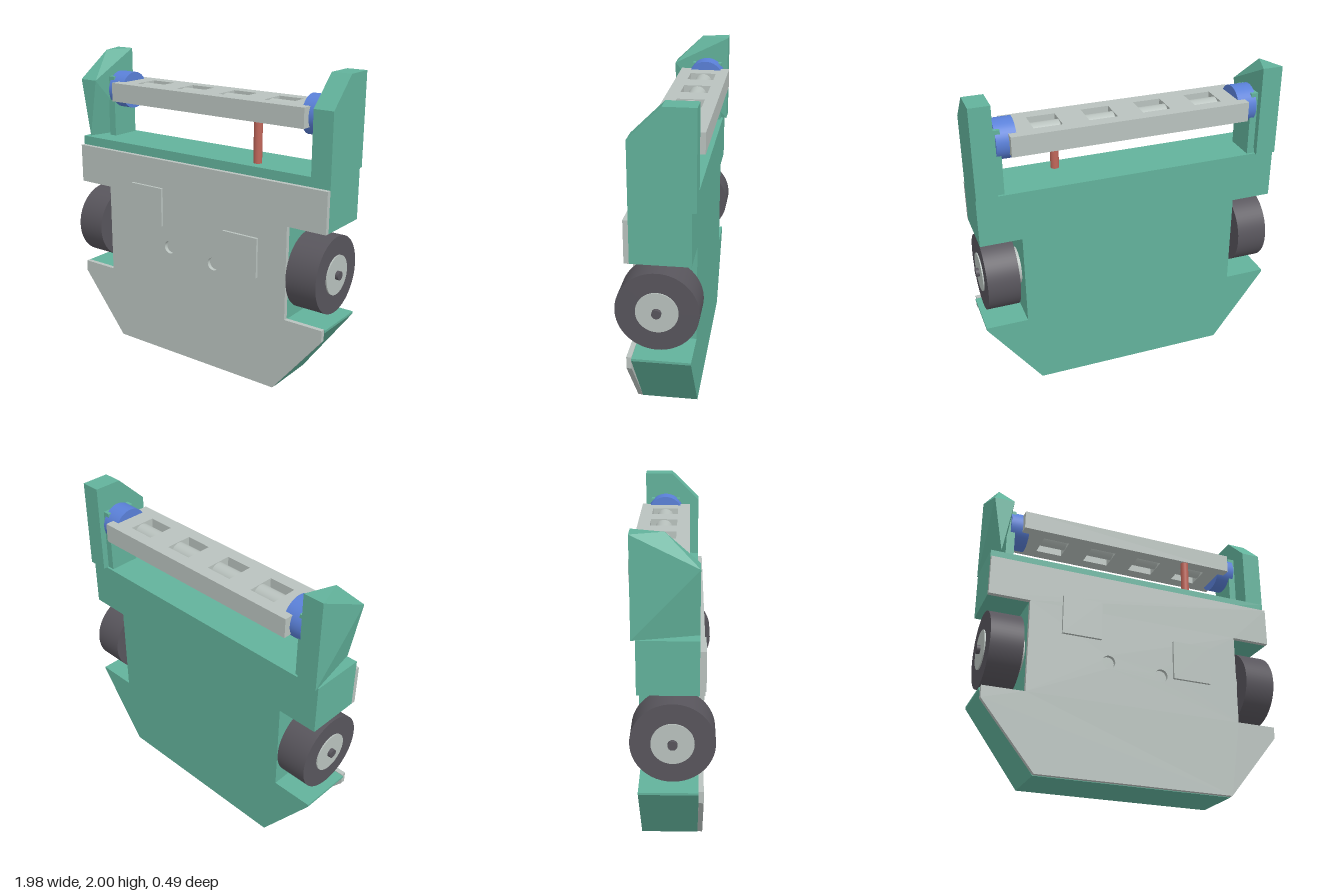
import * as THREE from 'three';
import { ConvexGeometry } from 'three/addons/geometries/ConvexGeometry.js';

const mat = (name, color, side = THREE.FrontSide) => {
  const m = new THREE.MeshStandardMaterial({ color, side });
  m.name = name;
  return m;
};

export function createModel() {
  const green = mat('green', 0x62b29b);
  const grey = mat('light grey', 0xb9c2be);
  const dark = mat('dark grey', 0x58555c);
  const blue = mat('blue', 0x5a80d8);
  const red = mat('red', 0xc0665a);

  const model = new THREE.Group();
  model.name = 'wheeledRobot';
  model.position.x = -0.007;

  const add = (name, geo, material, x = 0, y = 0, z = 0) => {
    const mesh = new THREE.Mesh(geo, material);
    mesh.name = name;
    mesh.position.set(x, y, z);
    model.add(mesh);
    return mesh;
  };
  // box given by its two opposite corners
  const box = (name, material, x0, x1, y0, y1, z0, z1) =>
    add(name, new THREE.BoxGeometry(x1 - x0, y1 - y0, z1 - z0), material,
      (x0 + x1) / 2, (y0 + y1) / 2, (z0 + z1) / 2);
  // cylinder lying along x
  const rod = (name, material, r, x0, x1, y, z, seg = 40) =>
    add(name, new THREE.CylinderGeometry(r, r, Math.abs(x1 - x0), seg).rotateZ(Math.PI / 2),
      material, (x0 + x1) / 2, y, z);
  const extrude = (shape, depth) =>
    new THREE.ExtrudeGeometry(shape, { depth, bevelEnabled: false, curveSegments: 24 });
  // symmetric outline from its right half, listed from bottom to top
  const mirrored = (half) => new THREE.Shape(
    [...half, ...half.slice().reverse().map(([x, y]) => [-x, y])]
      .map(([x, y]) => new THREE.Vector2(x, y)));

  // body block with wheel notches
  const body = mirrored([[0.64, 0], [0.985, 0.475], [0.985, 0.49], [0.715, 0.49],
    [0.715, 1.1], [0.978, 1.1], [0.978, 1.42]]);
  add('body', extrude(body, 0.35), green, 0, 0, -0.2);

  // front cover plate with two round holes
  const plate = mirrored([[0.64, 0.003], [0.978, 0.42], [0.978, 0.495], [0.715, 0.495],
    [0.715, 1.1], [0.978, 1.1], [0.978, 1.36]]);
  for (const [x, y] of [[-0.19, 0.77], [0.17, 0.735]]) {
    plate.holes.push(new THREE.Path().absarc(x, y, 0.043, 0, Math.PI * 2, true));
    add('recessedDisc', new THREE.CircleGeometry(0.043, 24), grey, x, y, 0.155);
  }
  add('frontPlate', extrude(plate, 0.03), grey, 0, 0, 0.15);
  box('upperPanel', grey, -0.504, -0.244, 0.91, 1.17, 0.18, 0.198);
  box('lowerPanel', grey, 0.252, 0.512, 0.725, 0.985, 0.18, 0.198);

  // wheels, hubs, axles, roller end caps and brackets
  for (const s of [-1, 1]) {
    rod('wheel', dark, 0.245, s * 0.755, s * 0.96, 0.795, 0, 64);
    rod('outerHub', grey, 0.125, s * 0.955, s * 0.968, 0.795, 0);
    rod('innerHub', grey, 0.12, s * 0.71, s * 0.76, 0.795, 0);
    rod('axle', dark, 0.028, s * 0.9, s * 0.99, 0.795, 0, 24);
    rod('endCap', blue, 0.123, s * 0.705, s * 0.83, 1.737, -0.083);
    box('bracket', green, s * 0.827 - 0.027, s * 0.827 + 0.027, 1.42, 1.83, -0.185, 0.018);
  }

  // left tower, with a chamfered top front edge
  const tower = new THREE.Shape([[-0.15, 1.42], [0.225, 1.42], [0.225, 2], [0.04, 2], [-0.15, 1.815]]
    .map(([x, y]) => new THREE.Vector2(x, y)));
  add('leftTower', extrude(tower, 0.13).rotateY(Math.PI / 2), green, 0.848);

  // right tower, a faceted wedge with a pointed top and foot
  const wedge = [[-0.915, 2, -0.04], [-0.911, 1.43, 0.15]];
  for (const x of [-0.978, -0.846]) {
    wedge.push([x, 1.42, -0.225], [x, 2, -0.225], [x, 1.815, 0.15]);
  }
  add('rightTower', new ConvexGeometry(wedge.map((p) => new THREE.Vector3(...p))), green);

  // crossbar with four windows, and a roller in each
  const bar = new THREE.Shape([[-0.753, -0.09], [0.753, -0.09], [0.753, 0.245], [-0.753, 0.245]]
    .map(([x, y]) => new THREE.Vector2(x, y)));
  for (const x of [-0.51, -0.17, 0.17, 0.51]) {
    bar.holes.push(new THREE.Path([[x - 0.088, -0.008], [x - 0.088, 0.165],
      [x + 0.088, 0.165], [x + 0.088, -0.008]].map(([a, b]) => new THREE.Vector2(a, b))));
    rod('roller', grey, 0.058, x - 0.09, x + 0.09, 1.74, -0.08);
  }
  add('crossbar', extrude(bar, 0.125).rotateX(-Math.PI / 2), grey, 0, 1.677, 0);

  // post under the crossbar
  add('post', new THREE.CylinderGeometry(0.027, 0.027, 0.27, 24), red, 0.42, 1.55, 0.06);

  return model;
}
